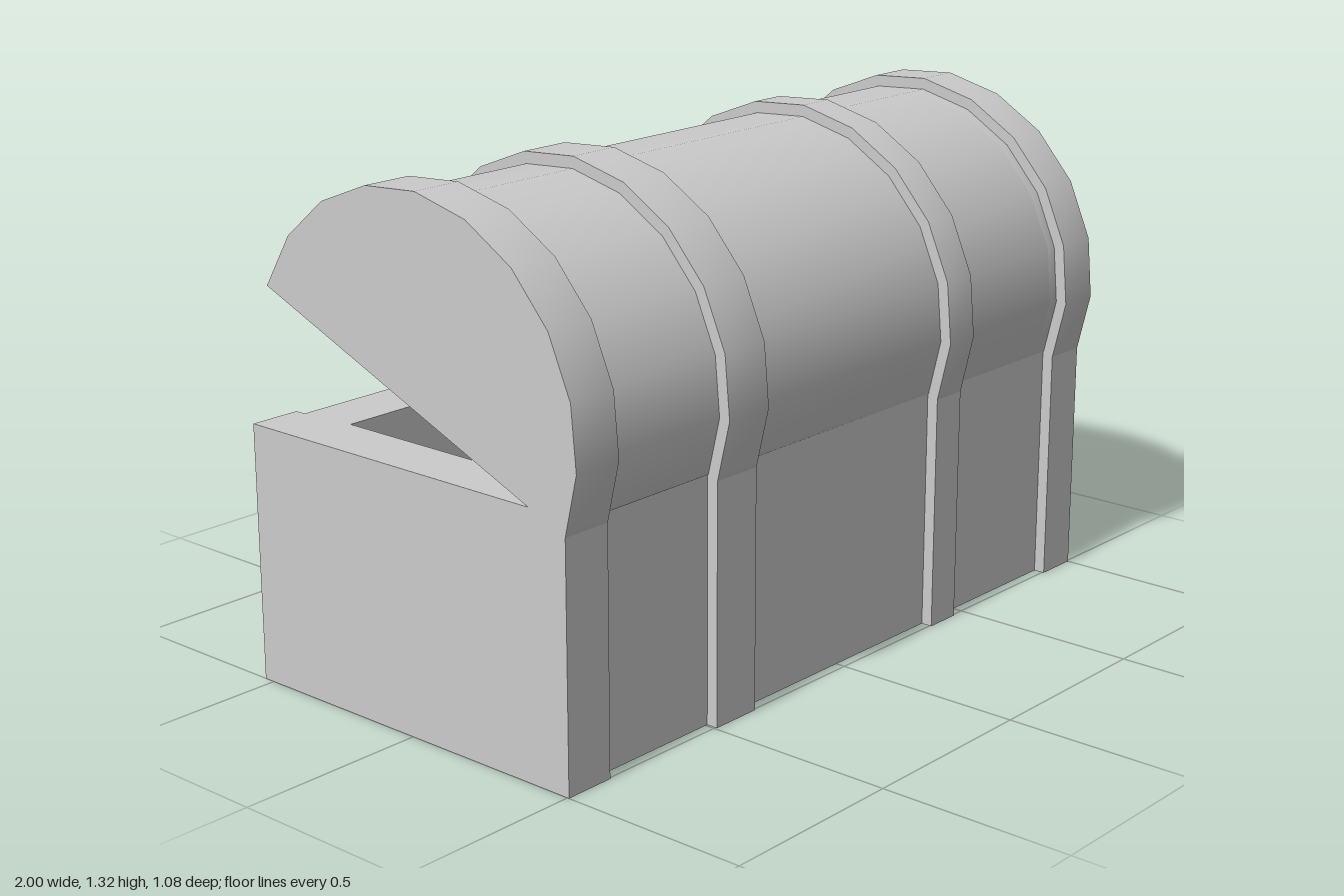
import * as THREE from 'three';
import { toCreasedNormals } from 'three/addons/utils/BufferGeometryUtils.js';

const material = new THREE.MeshStandardMaterial({ color: 0xcccccc });
const BANDS = [[-1, -0.865], [-0.495, -0.355], [0.36, 0.46], [0.88, 1]];
const HEIGHT = 0.66, BACK = 0.475, FRONT = -0.5, BAND = 0.03;
const INNER = 0.85; // half length of the hollow

function add(parent, name, geometry, x = 0, y = 0, z = 0) {
  const mesh = new THREE.Mesh(geometry, material);
  mesh.name = name;
  mesh.position.set(x, y, z);
  parent.add(mesh);
  return mesh;
}

// Points of a ten-sided half ellipse, from right to left
function arc(a, b) {
  return Array.from({ length: 11 }, (_, i) => {
    const t = (i / 10) * Math.PI;
    return new THREE.Vector2(a * Math.cos(t), b * Math.sin(t));
  });
}

// Half-round slab along x, hollow when an inner arc is given
function vault(x0, x1, outer, inner) {
  const points = arc(...outer);
  if (inner) points.push(...arc(...inner).reverse());
  const geometry = new THREE.ExtrudeGeometry(new THREE.Shape(points), { depth: x1 - x0, bevelEnabled: false });
  geometry.rotateY(Math.PI / 2).translate(x0, 0, 0);
  return toCreasedNormals(geometry, 0.5);
}

function rectangle(Type, x, z0, z1) {
  return new Type([[-x, -z1], [x, -z1], [x, -z0], [-x, -z0]].map(p => new THREE.Vector2(...p)));
}

function createBase() {
  const base = new THREE.Group();
  base.name = 'base';
  // Thick walls around an open box
  const plan = rectangle(THREE.Shape, 1, FRONT, BACK);
  plan.holes.push(rectangle(THREE.Path, INNER, -0.35, 0.36));
  const walls = new THREE.ExtrudeGeometry(plan, { depth: HEIGHT, bevelEnabled: false });
  add(base, 'walls', walls.rotateX(-Math.PI / 2));
  add(base, 'floor', new THREE.BoxGeometry(2 * INNER, 0.14, 0.71), 0, 0.07, 0.005);
  // Raised strips on both long sides
  for (const [x0, x1] of BANDS) {
    for (const z of [BACK + BAND / 2, FRONT - BAND / 2]) {
      add(base, 'baseBand', new THREE.BoxGeometry(x1 - x0, HEIGHT, BAND), (x0 + x1) / 2, HEIGHT / 2, z);
    }
  }
  return base;
}

function createLid() {
  const lid = new THREE.Group();
  lid.name = 'lid';
  const body = [0.49, 0.47], band = [0.52, 0.5], hollow = [0.36, 0.34];
  add(lid, 'lidShell', vault(-INNER, INNER, body, hollow));
  add(lid, 'lidEnd', vault(BANDS[0][1], -INNER, body));
  add(lid, 'lidEnd', vault(INNER, BANDS[3][0], body));
  // End bands are solid, middle bands wrap the shell
  BANDS.forEach(([x0, x1], i) => {
    const solid = i === 0 || i === 3;
    add(lid, 'lidBand', vault(x0, x1, band, solid ? null : body));
  });
  // Half-ring handle on the opening edge
  const handle = add(lid, 'handle', new THREE.TorusGeometry(0.138, 0.022, 12, 24, Math.PI), 0, 0.061, -0.47);
  handle.rotation.x = -Math.PI / 2;
  for (const x of [-0.138, 0.138]) {
    add(lid, 'handleEnd', new THREE.SphereGeometry(0.022, 12, 8), x, 0.061, -0.47);
  }
  // Propped open about the hinge
  lid.position.set(0, 0.8145, 0.025);
  lid.rotation.x = 0.396;
  return lid;
}

export function createModel() {
  const chest = new THREE.Group();
  chest.name = 'chest';
  chest.add(createBase(), createLid());
  return chest;
}
